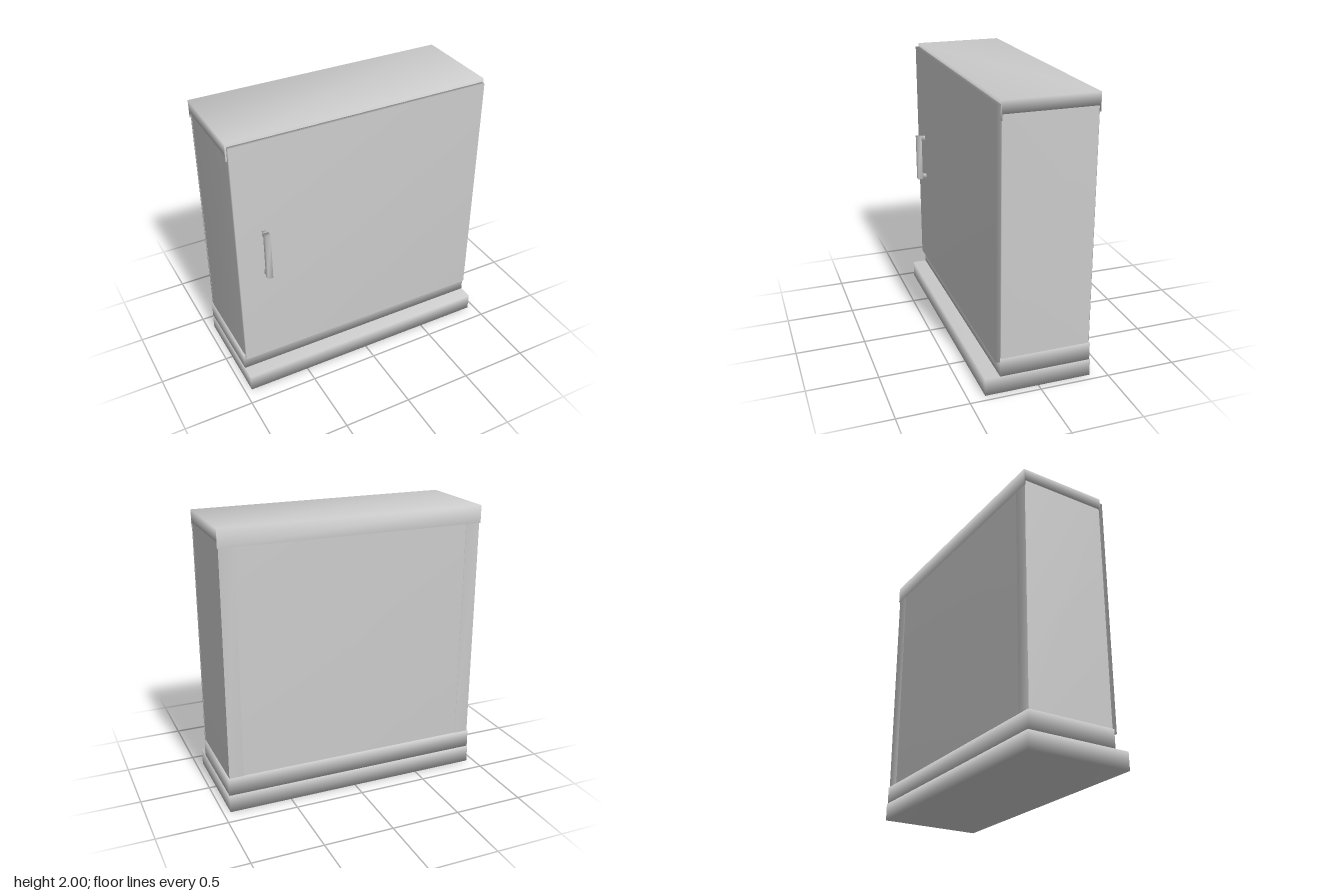
import * as THREE from 'three';
import { mergeVertices } from 'three/addons/utils/BufferGeometryUtils.js';

const grey = new THREE.MeshStandardMaterial({ color: 0xcccccc });

// Shares the corners so that shading runs softly across the edges.
function soften(geometry) {
  geometry.deleteAttribute('normal');
  geometry.deleteAttribute('uv');
  const welded = mergeVertices(geometry, 1e-4);
  welded.computeVertexNormals();
  return welded;
}

function addPart(parent, name, geometry) {
  const mesh = new THREE.Mesh(soften(geometry), grey);
  mesh.name = name;
  parent.add(mesh);
  return mesh;
}

// Box given by its limits on each axis.
function addBox(parent, name, [x0, x1], [y0, y1], [z0, z1]) {
  const geometry = new THREE.BoxGeometry(x1 - x0, y1 - y0, z1 - z0);
  geometry.translate((x0 + x1) / 2, (y0 + y1) / 2, (z0 + z1) / 2);
  return addPart(parent, name, geometry);
}

export function createModel() {
  const cabinet = new THREE.Group();
  cabinet.name = 'cabinet';

  // Plinth and bottom rail
  addBox(cabinet, 'plinth', [-0.95, 0.95], [0, 0.126], [-0.38, 0.38]);
  addBox(cabinet, 'bottomRail', [-0.95, 0.95], [0.126, 0.255], [-0.373, 0.275]);

  // Top cap: channel section with thin lips hanging at the front and back
  const section = new THREE.Shape([
    [-0.275, 1.875], [-0.267, 1.875], [-0.267, 1.915], [0.365, 1.915],
    [0.365, 1.875], [0.373, 1.875], [0.373, 2], [-0.275, 2],
  ].map(([u, y]) => new THREE.Vector2(u, y)));
  const cap = new THREE.ExtrudeGeometry(section, { depth: 1.9, bevelEnabled: false });
  cap.translate(0, 0, -0.95).rotateY(Math.PI / 2).scale(1, 1, 1);
  // Turning the section puts its u axis along -z, so the front lip is at +z.
  addPart(cabinet, 'topCap', cap);

  // Side walls, and corner posts framing the back panel
  for (const [side, s] of [['right', -1], ['left', 1]]) {
    const span = (a, b) => [Math.min(s * a, s * b), Math.max(s * a, s * b)];
    addBox(cabinet, side + 'Wall', span(0.92, 0.943), [0.255, 1.915], [-0.365, 0.267]);
    addBox(cabinet, side + 'BackPost', span(0.84, 0.943), [0.255, 1.915], [-0.367, -0.345]);
  }
  addBox(cabinet, 'backPanel', [-0.84, 0.84], [0.255, 1.915], [-0.362, -0.345]);

  // Door
  addBox(cabinet, 'door', [-0.94, 0.94], [0.23, 1.975], [0.273, 0.302]);

  // Handle: upright grip on two standoffs
  const handle = new THREE.Group();
  handle.name = 'handle';
  addBox(handle, 'grip', [-0.763, -0.725], [0.955, 1.31], [0.332, 0.37]);
  for (const y of [0.975, 1.29]) {
    addBox(handle, 'standoff', [-0.759, -0.729], [y - 0.017, y + 0.017], [0.302, 0.332]);
  }
  cabinet.add(handle);

  return cabinet;
}
